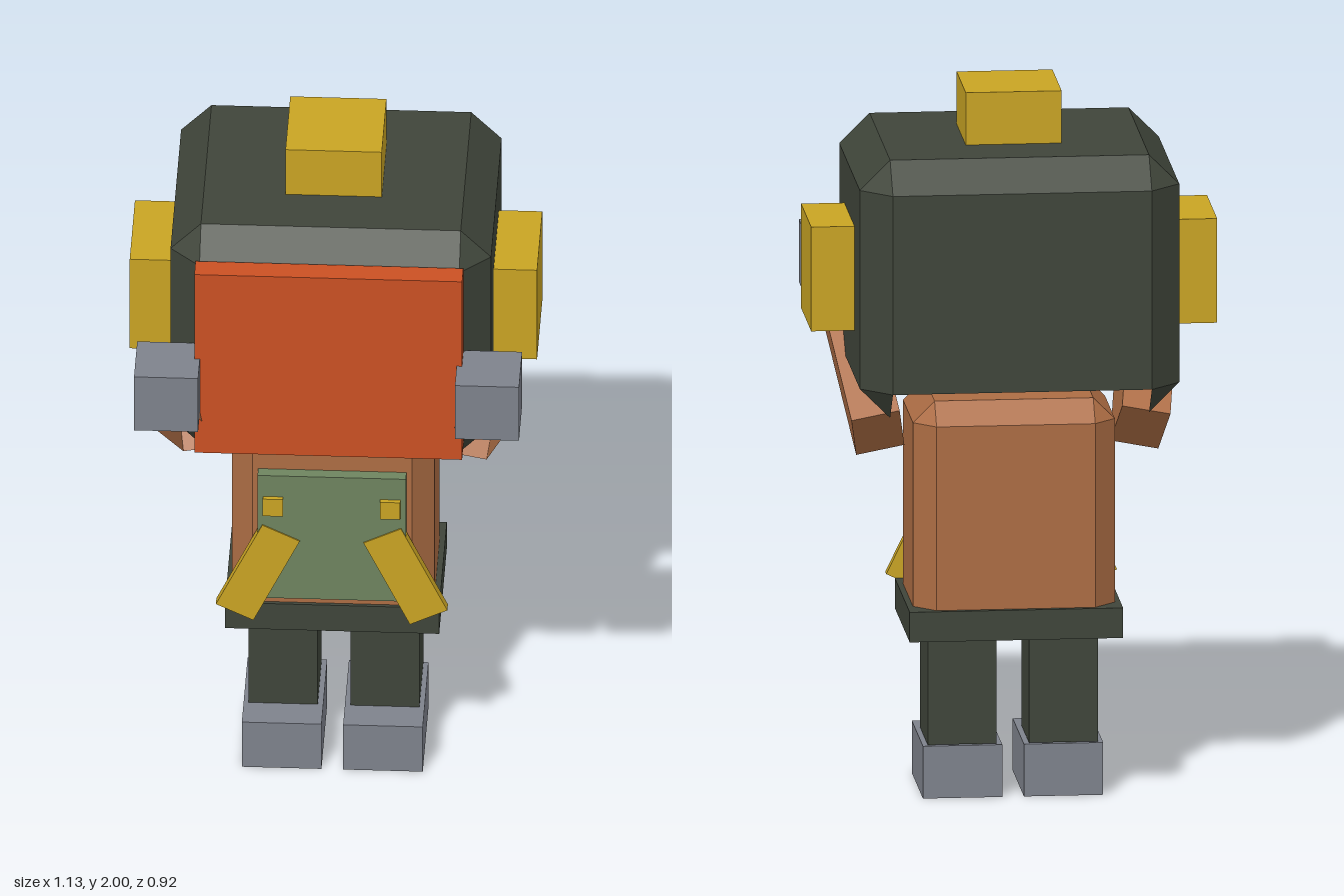
import * as THREE from 'three';

const paint = (name, color) => {
  const m = new THREE.MeshStandardMaterial({ color, side: THREE.DoubleSide, flatShading: true });
  m.name = name;
  return m;
};

// Box without its underside, like a hollow shell
function openBox(w, h, d) {
  const g = new THREE.BoxGeometry(w, h, d);
  const index = Array.from(g.index.array);
  index.splice(18, 6);
  g.setIndex(index);
  g.clearGroups();
  return g;
}

// Chamfered shell: no underside, optional front; the eight corner triangles stay
function chamferedShell(w, h, d, c, hasFront) {
  const half = [w / 2, h / 2, d / 2];
  const pos = [];
  const point = (axis, s) => new THREE.Vector3(...half.map((e, i) => s[i] * (i === axis ? e : e - c)));
  const addPoly = (p) => {
    const n = p[1].clone().sub(p[0]).cross(p[2].clone().sub(p[0]));
    const middle = p.reduce((a, v) => a.add(v), new THREE.Vector3());
    if (n.dot(middle) < 0) p.reverse();
    for (let i = 1; i < p.length - 1; i++)
      for (const v of [p[0], p[i], p[i + 1]]) pos.push(v.x, v.y, v.z);
  };
  const signs = (a, sa, b, sb, k, sk) => {
    const s = [0, 0, 0];
    s[a] = sa; s[b] = sb; s[k] = sk;
    return s;
  };
  for (let a = 0; a < 3; a++) {
    const b = (a + 1) % 3, k = (a + 2) % 3;
    for (const sa of [-1, 1]) {
      // flat side
      if (!(a === 1 && sa < 0) && !(a === 2 && sa > 0 && !hasFront))
        addPoly([[-1, -1], [1, -1], [1, 1], [-1, 1]].map(([u, v]) => point(a, signs(a, sa, b, u, k, v))));
      // bevels between axes a and b
      for (const sb of [-1, 1]) {
        if ((a === 1 && sa < 0) || (b === 1 && sb < 0)) continue;
        const s0 = signs(a, sa, b, sb, k, -1), s1 = signs(a, sa, b, sb, k, 1);
        addPoly([point(a, s0), point(b, s0), point(b, s1), point(a, s1)]);
      }
    }
  }
  for (const x of [-1, 1]) for (const y of [-1, 1]) for (const z of [-1, 1])
    addPoly([0, 1, 2].map((i) => point(i, [x, y, z])));
  const g = new THREE.BufferGeometry();
  g.setAttribute('position', new THREE.Float32BufferAttribute(pos, 3));
  g.computeVertexNormals();
  return g;
}

export function createModel() {
  const model = new THREE.Group();
  const darkGreen = paint('dark green', 0x3f453a);
  const sage = paint('sage green', 0x6e845f);
  const orange = paint('orange', 0xcb5023);
  const brown = paint('brown', 0xad6d44);
  const yellow = paint('yellow', 0xc9a423);
  const grey = paint('grey', 0x7e828c);

  const add = (name, geometry, material, x, y, z) => {
    const m = new THREE.Mesh(geometry, material);
    m.name = name;
    m.position.set(x, y, z);
    model.add(m);
    return m;
  };
  // Open box from its extents
  const block = (name, material, x0, x1, y0, y1, z0, z1) =>
    add(name, openBox(x1 - x0, y1 - y0, z1 - z0), material, (x0 + x1) / 2, (y0 + y1) / 2, (z0 + z1) / 2);

  // Head
  add('head', chamferedShell(0.886, 0.73, 0.76, 0.084, false), darkGreen, 0, 1.487, -0.08);
  block('facePlate', orange, -0.37, 0.37, 1.19, 1.78, 0.295, 0.362);
  block('topKnob', yellow, -0.133, 0.133, 1.85, 2, -0.208, 0.058);

  // Torso
  add('torso', chamferedShell(0.56, 0.68, 0.405, 0.06, true), brown, 0, 0.79, -0.07);
  block('belt', darkGreen, -0.296, 0.296, 0.465, 0.55, -0.287, 0.143);
  block('chestPanel', sage, -0.205, 0.205, 0.585, 0.99, 0.128, 0.167);

  // Paired parts
  for (const s of [-1, 1]) {
    const side = s > 0 ? 'left' : 'right';
    const pair = (part, material, x0, x1, ...rest) =>
      block(side + part, material, Math.min(s * x0, s * x1), Math.max(s * x0, s * x1), ...rest);

    pair('Ear', yellow, 0.443, 0.563, 1.337, 1.632, -0.222, 0.072);
    pair('Hand', grey, 0.355, 0.532, 1.323, 1.5, 0.282, 0.459);
    pair('Leg', darkGreen, 0.045, 0.236, 0.15, 0.447, -0.183, 0.037);
    pair('Boot', grey, 0.03, 0.25, 0, 0.148, -0.19, 0.133);
    pair('Button', yellow, 0.134, 0.19, 0.865, 0.921, 0.16, 0.181);

    const arm = add(side + 'Arm', openBox(0.136, 0.165, 0.58), brown, s * 0.4, 1.2, 0.143);
    arm.rotation.set(-0.72, 0, -s * 0.19, 'ZXY');

    const strap = add(side + 'Strap', openBox(0.115, 0.295, 0.03), yellow, s * 0.204, 0.67, 0.156);
    strap.rotation.z = s * 0.45;
  }
  return model;
}
